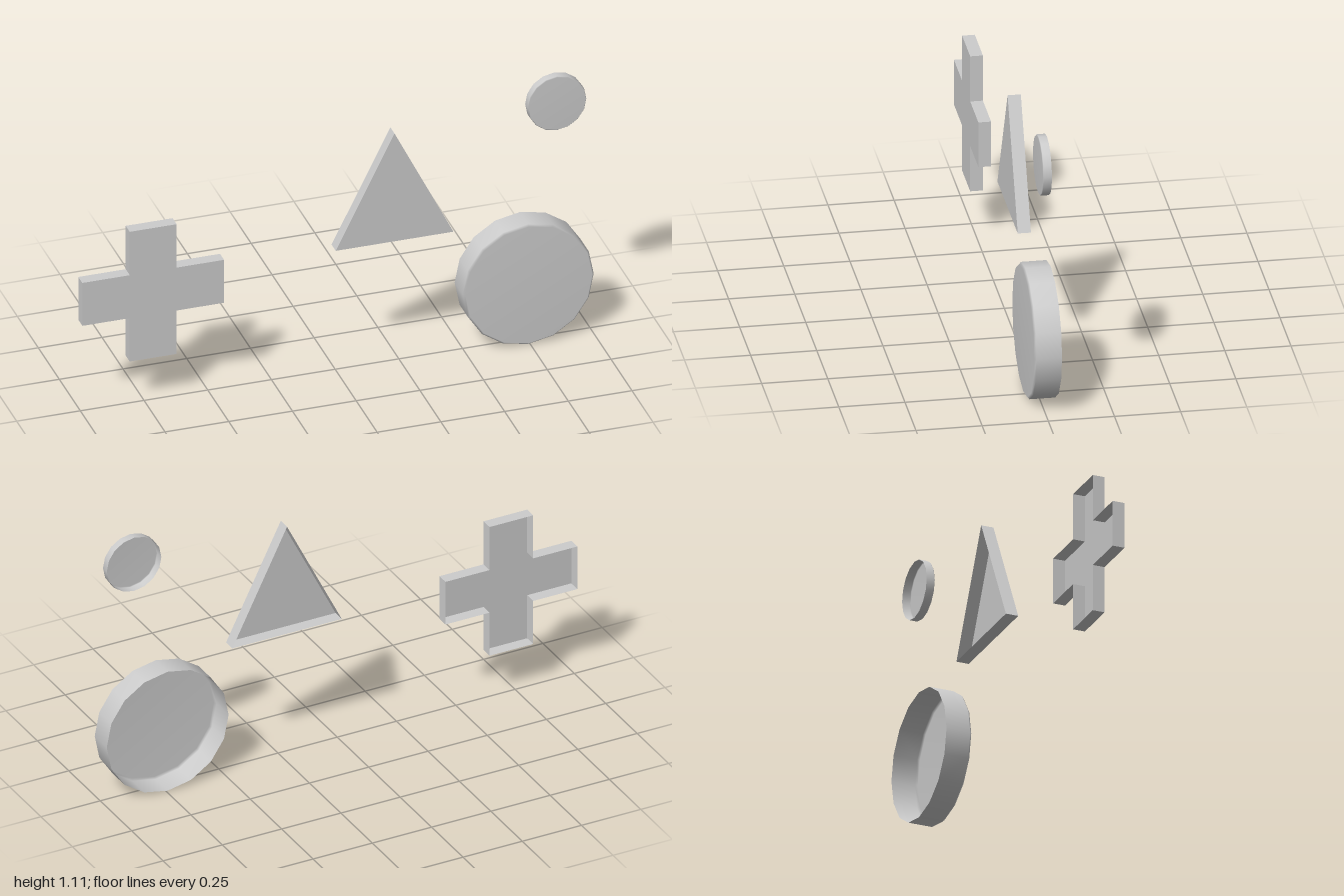
import * as THREE from 'three';
import { mergeGeometries } from 'three/addons/utils/BufferGeometryUtils.js';

const grey = new THREE.MeshStandardMaterial({ color: 0xcccccc, side: THREE.DoubleSide });
grey.name = 'plain grey';

// Straight-edged shell: front plate plus side walls, open at the back.
// Corners run anticlockwise seen from the front.
function plateShell(name, corners, halfDepth) {
  const points = corners.map(([x, y]) => new THREE.Vector2(x, y));
  const front = new THREE.ShapeGeometry(new THREE.Shape(points)).toNonIndexed();
  front.translate(0, 0, halfDepth);
  front.deleteAttribute('uv');

  const positions = [];
  points.forEach((a, i) => {
    const b = points[(i + 1) % points.length];
    const d = halfDepth;
    positions.push(a.x, a.y, -d, b.x, b.y, -d, b.x, b.y, d);
    positions.push(a.x, a.y, -d, b.x, b.y, d, a.x, a.y, d);
  });
  const walls = new THREE.BufferGeometry();
  walls.setAttribute('position', new THREE.Float32BufferAttribute(positions, 3));
  walls.computeVertexNormals();

  const mesh = new THREE.Mesh(mergeGeometries([front, walls]), grey);
  mesh.name = name;
  return mesh;
}

// Sixteen-sided smooth button with a softened front rim, open at the back.
function roundShell(name, radius, halfDepth, rim, x, y) {
  const profile = [
    [radius, -halfDepth],
    [radius, halfDepth - rim],
    [radius - rim, halfDepth],
    [0, halfDepth],
  ].map(([r, h]) => new THREE.Vector2(r, h));
  const geometry = new THREE.LatheGeometry(profile, 16);
  geometry.rotateX(Math.PI / 2);
  const mesh = new THREE.Mesh(geometry, grey);
  mesh.name = name;
  mesh.position.set(x, y, 0);
  return mesh;
}

export function createModel() {
  const model = new THREE.Group();
  model.name = 'controlButtons';

  // Cross pad: the same three corners turned through four quarter turns
  const arm = 0.278, half = 0.092;
  const crossCorners = [];
  for (let i = 0; i < 4; i++) {
    const c = Math.round(Math.cos(i * Math.PI / 2));
    const s = Math.round(Math.sin(i * Math.PI / 2));
    for (const [x, y] of [[arm, -half], [arm, half], [half, half]]) {
      crossCorners.push([x * c - y * s, x * s + y * c]);
    }
  }
  const cross = plateShell('crossPad', crossCorners, 0.024);
  cross.position.set(-0.722, 0.472, 0);
  model.add(cross);

  // Triangle button
  model.add(plateShell('triangleButton', [[-0.006, 0.525], [0.456, 0.525], [0.225, 0.987]], 0.025));

  // Round buttons
  model.add(roundShell('largeRoundButton', 0.257, 0.052, 0.008, 0.743, 0.26));
  model.add(roundShell('smallRoundButton', 0.115, 0.017, 0.003, 0.866, 0.997));

  return model;
}
